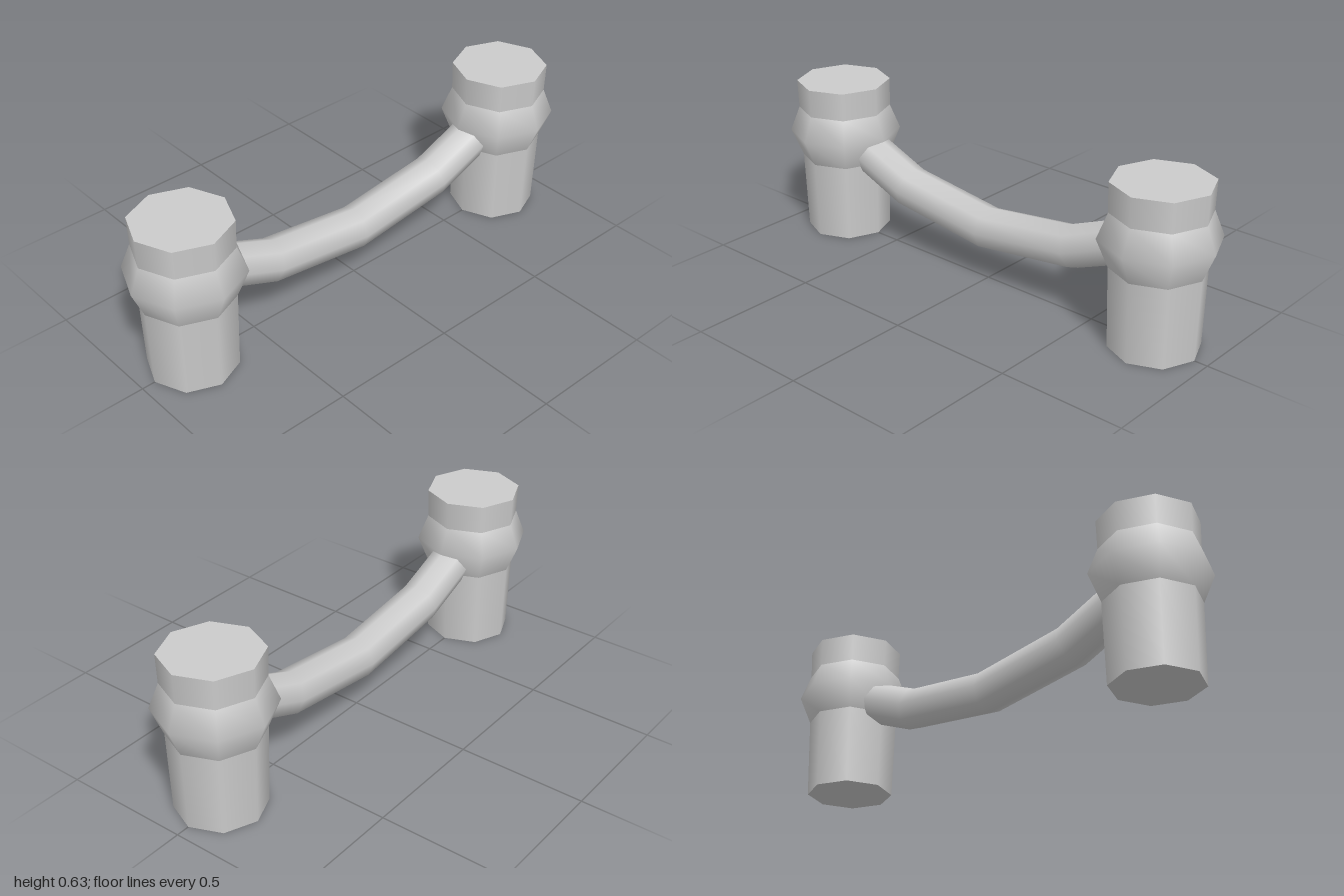
import * as THREE from 'three';
import { mergeGeometries } from 'three/addons/utils/BufferGeometryUtils.js';

const SIDES = 8;
const material = new THREE.MeshStandardMaterial({ color: 0xcccccc });

// Smooth octagonal post; each lathe section is separate so its edges stay sharp
function postGeometry() {
  const sections = [
    [[0, 0], [0.169, 0]],
    [[0.169, 0], [0.177, 0.313]],
    [[0.177, 0.313], [0.222, 0.422], [0.183, 0.52]],
    [[0.183, 0.52], [0.186, 0.633]],
    [[0.186, 0.633], [0, 0.633]],
  ];
  return mergeGeometries(sections.map((points) =>
    new THREE.LatheGeometry(points.map(([r, y]) => new THREE.Vector2(r, y)), SIDES)));
}

// Sagging bar: a cylinder whose rings are moved onto a path and mitred at the bends
function barGeometry() {
  const radius = 0.083;
  const path = [[-0.7, 0.386], [-0.41, 0.268], [0, 0.215], [0.41, 0.268], [0.7, 0.386]]
    .map(([x, y]) => new THREE.Vector2(x, y));
  const last = path.length - 1;
  const direction = (i) => path[i + 1].clone().sub(path[i]).normalize();
  const frames = path.map((_, i) => {
    const before = direction(Math.max(i - 1, 0));
    const along = before.clone().add(direction(Math.min(i, last - 1))).normalize();
    return { up: new THREE.Vector2(-along.y, along.x), stretch: 1 / along.dot(before) };
  });

  const geometry = new THREE.CylinderGeometry(radius, radius, last, SIDES, last, true);
  geometry.rotateZ(-Math.PI / 2);
  const { position, normal } = geometry.attributes;
  for (let i = 0; i < position.count; i++) {
    const ring = Math.round(position.getX(i) + last / 2);
    const y = position.getY(i);
    const z = position.getZ(i);
    const { up, stretch } = frames[ring];
    position.setXYZ(i, path[ring].x + up.x * y * stretch, path[ring].y + up.y * y * stretch, z);
    normal.setXYZ(i, up.x * y / radius, up.y * y / radius, z / radius);
  }
  return geometry;
}

export function createModel() {
  const model = new THREE.Group();
  model.name = 'postsWithBar';

  // Mirrored pair of posts
  const post = postGeometry();
  for (const [name, side] of [['leftPost', 1], ['rightPost', -1]]) {
    const mesh = new THREE.Mesh(post, material);
    mesh.name = name;
    mesh.position.x = side * 0.778;
    model.add(mesh);
  }

  // Connecting bar
  const bar = new THREE.Mesh(barGeometry(), material);
  bar.name = 'connectingBar';
  model.add(bar);
  return model;
}
